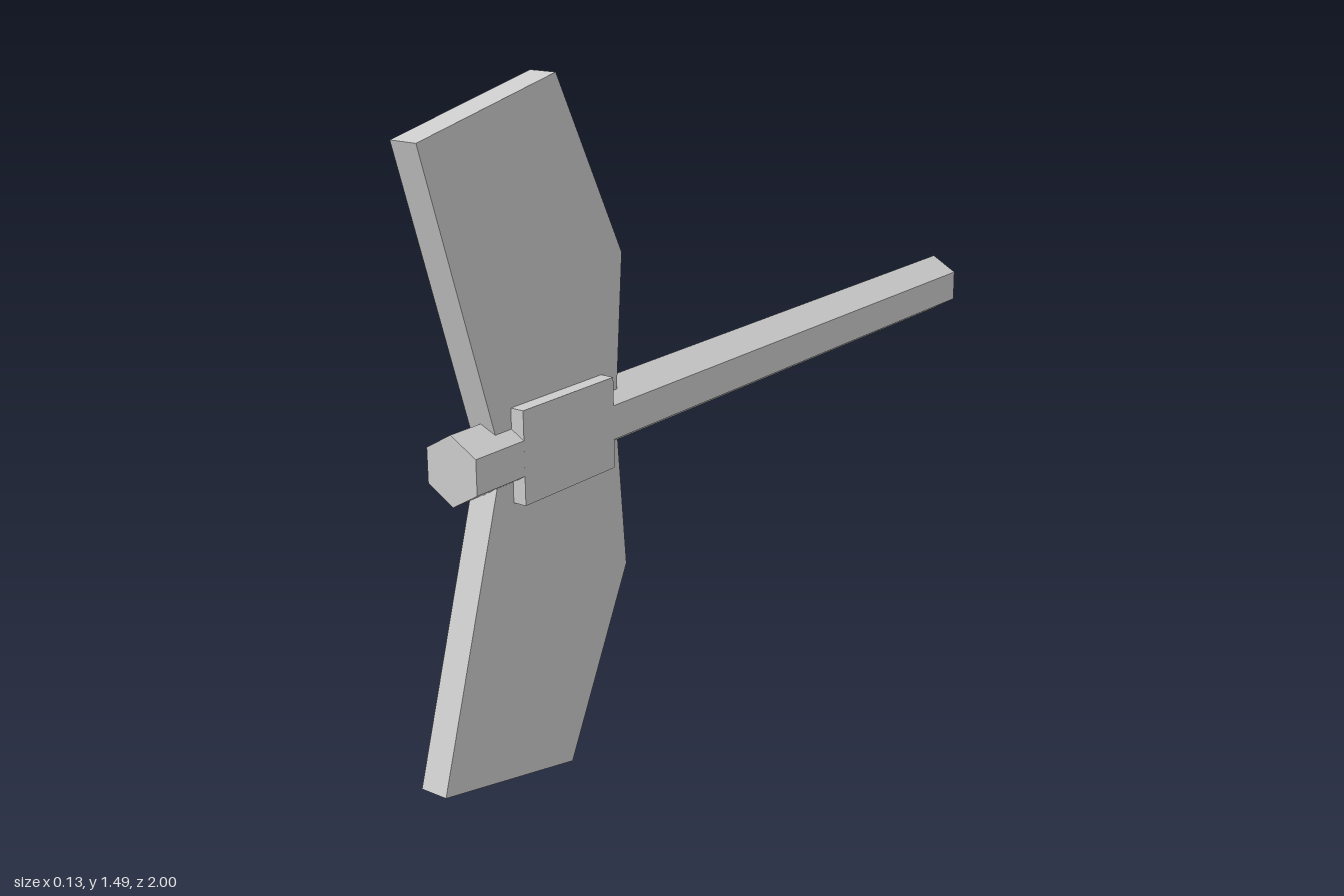
import * as THREE from 'three';

const AXIS_Y = 0.75;

export function createModel() {
  const group = new THREE.Group();
  const grey = new THREE.MeshStandardMaterial({ color: 0xcccccc, flatShading: true });
  grey.name = 'light grey';

  const add = (name, geometry) => {
    const mesh = new THREE.Mesh(geometry, grey);
    mesh.name = name;
    mesh.position.y = AXIS_Y;
    group.add(mesh);
  };

  // Hexagonal shaft along z, with one edge on top
  const shaft = new THREE.CylinderGeometry(0.075, 0.075, 1.91, 6);
  shaft.rotateX(Math.PI / 2).translate(0, 0, -0.045);
  add('shaft', shaft);

  // Square hub block around the shaft
  const hub = new THREE.BoxGeometry(0.13, 0.2, 0.285);
  hub.translate(0, 0, 0.6275);
  add('hub', hub);

  // Flat blades: outline as (z, height from the axis), mirrored up and down
  const outline = [[0.81, 0.03], [1, 0.66], [0.608, 0.747], [0.41, 0.35], [0.436, 0.03]];
  for (const side of [1, -1]) {
    const shape = new THREE.Shape(outline.map(([z, y]) => new THREE.Vector2(z, y * side)));
    const blade = new THREE.ExtrudeGeometry(shape, { depth: 0.066, bevelEnabled: false });
    blade.translate(0, 0, -0.033).rotateY(-Math.PI / 2);
    add(side > 0 ? 'upperBlade' : 'lowerBlade', blade);
  }

  return group;
}
